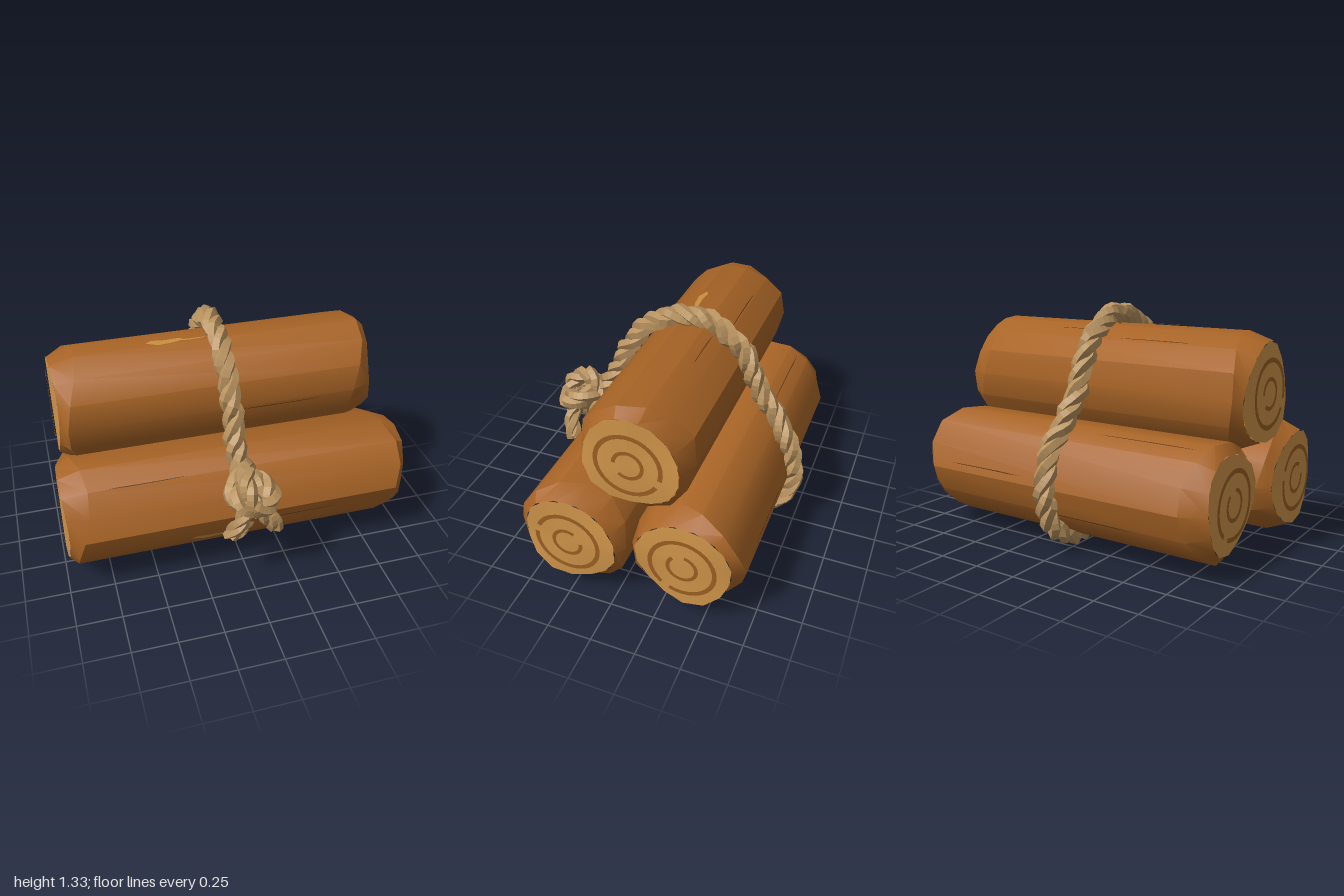
import * as THREE from 'three';
import { toCreasedNormals } from 'three/addons/utils/BufferGeometryUtils.js';

const material = (name, color, extra = {}) => {
  const m = new THREE.MeshStandardMaterial({ color, ...extra });
  m.name = name;
  return m;
};

export function createModel() {
  const bark = material('bark', 0xa86426);
  const wood = material('cut wood', 0xd0954a);
  const ringMat = material('growth ring', 0x9c6024, { side: THREE.DoubleSide });
  const chip = material('bare wood', 0xc88e40, { side: THREE.DoubleSide });
  const crack = material('bark crack', 0x5a3312, { side: THREE.DoubleSide });
  const ropeMat = material('rope', 0xb8925f, { side: THREE.DoubleSide, flatShading: true });

  const model = new THREE.Group();
  const add = (parent, name, geometry, mat) => {
    const mesh = new THREE.Mesh(geometry, mat);
    mesh.name = name;
    parent.add(mesh);
    return mesh;
  };

  // ---- logs: rough cylinders along x with uneven bevelled ends ----
  const SIDES = 14;
  function makeLog(name, x0, x1, y, z, r, seed) {
    const log = new THREE.Group();
    log.name = name;
    log.position.set(0, y, z);
    const wob = (a, k) => Math.sin(a * k + seed * 1.7);
    const endX = (a, s) => (s > 0 ? x1 : x0) - s * 0.01 * (1 + wob(a, 2 + (s > 0 ? 1 : 0)));
    const endR = (a, s) => r * (0.84 + 0.03 * wob(a + s, 3));
    const bodyR = a => r * (1 + 0.016 * wob(a, 5));

    // bark: the two end rows are bevelled by an amount that varies around the log
    const body = new THREE.CylinderGeometry(1, 1, 2, SIDES, 3, true).rotateZ(-Math.PI / 2);
    const p = body.attributes.position;
    for (let i = 0; i < p.count; i++) {
      const a = Math.atan2(p.getY(i), p.getZ(i));
      const s = Math.sign(p.getX(i));
      const isEnd = Math.abs(p.getX(i)) > 0.9;
      const bevel = 0.09 + 0.05 * wob(a + s, 2);
      const rad = isEnd ? endR(a, s) : bodyR(a);
      p.setXYZ(i, endX(a, s) - (isEnd ? 0 : s * bevel), Math.sin(a) * rad, Math.cos(a) * rad);
    }
    add(log, 'bark', toCreasedNormals(body, 0.52), bark);

    // cut faces with growth rings
    for (const s of [-1, 1]) {
      const cap = new THREE.CircleGeometry(1, SIDES, Math.PI / 2).rotateY(s * Math.PI / 2);
      const c = cap.attributes.position;
      for (let i = 0; i < c.count; i++) {
        const a = Math.atan2(c.getY(i), c.getZ(i));
        if (i === 0) c.setXYZ(i, s > 0 ? x1 : x0, 0, 0);
        else c.setXYZ(i, endX(a, s), Math.sin(a) * endR(a, s), Math.cos(a) * endR(a, s));
      }
      cap.computeVertexNormals();
      add(log, 'cutFace', cap, wood);
      [[0.067, 0.088, 5.4], [0.163, 0.188, 6.0]].forEach(([inner, outer, arc], k) => {
        const ring = new THREE.RingGeometry(inner, outer, 28, 1, seed + k * 2, arc);
        ring.rotateY(s * Math.PI / 2);
        add(log, 'growthRing', ring, ringMat).position.x = (s > 0 ? x1 : x0) + s * 0.008;
      });
    }
    model.add(log);

    // thin sliver lying on the bark at a given angle above the front
    log.userData.sliver = (label, xa, xb, h, angle, mat) => {
      const w = xb - xa;
      const shape = new THREE.Shape([[0, 0.1], [0.15, 0.5], [0.5, 0.3], [0.9, 0.4], [1, 0], [0.7, -0.35], [0.3, -0.5]]
        .map(([u, v]) => new THREE.Vector2(xa + u * w, v * h)));
      const pivot = new THREE.Group();
      pivot.rotation.x = -angle;
      add(pivot, label, new THREE.ShapeGeometry(shape), mat).position.z = bodyR(angle) + 0.003;
      log.add(pivot);
    };
    return log;
  }

  const frontLog = makeLog('frontLog', -0.985, 0.985, 0.377, 0.235, 0.312, 1);
  const backLog = makeLog('backLog', -0.915, 0.94, 0.377, -0.39, 0.312, 2.3);
  const topLog = makeLog('topLog', -0.945, 0.855, 0.89, -0.072, 0.315, 4);

  frontLog.userData.sliver('bareWood', -0.31, -0.06, 0.04, -0.42, chip);
  topLog.userData.sliver('bareWood', -0.41, -0.2, 0.045, 1.41, chip);
  topLog.userData.sliver('bareWood', -0.22, -0.08, 0.012, 1.4, chip);
  [[frontLog, 0.1, 0.55, -0.15], [frontLog, -0.75, -0.3, 0.9], [frontLog, -0.6, 0.1, -1.1],
    [topLog, 0.05, 0.52, -0.05], [topLog, -0.6, -0.15, 2.2], [topLog, 0.0, 0.3, 2.0],
    [backLog, -0.78, -0.2, 2.0], [backLog, 0.2, 0.7, 3.0], [backLog, -0.5, 0.1, 3.6]]
    .forEach(([log, a, b, angle]) => log.userData.sliver('barkCrack', a, b, 0.006, angle, crack));

  // ---- rope: three strands twisted around a path ----
  function rope(name, points, closed = false, spread = 0.029, thick = 0.034) {
    const group = new THREE.Group();
    group.name = name;
    const path = new THREE.CatmullRomCurve3(points.map(q => new THREE.Vector3(...q)), closed);
    const length = path.getLength();
    const n = Math.max(6, Math.round(length / 0.045));
    const { normals, binormals } = path.computeFrenetFrames(n, closed);
    const turns = closed ? Math.max(1, Math.round(length / 0.28)) : length / 0.28;
    for (let k = 0; k < 3; k++) {
      const strand = [];
      for (let i = 0; i < (closed ? n : n + 1); i++) {
        const a = (i / n * turns + k / 3) * Math.PI * 2;
        const off = spread * (1 + 0.25 * Math.sin(i * 2.3 + k * 2));
        strand.push(path.getPointAt(i / n)
          .addScaledVector(normals[i], Math.cos(a) * off)
          .addScaledVector(binormals[i], Math.sin(a) * off));
      }
      const curve = new THREE.CatmullRomCurve3(strand, closed);
      add(group, 'strand', new THREE.TubeGeometry(curve, n * 2, thick, 5, closed), ropeMat);
    }
    model.add(group);
  }

  // loop around the bundle, given as [z, y]
  const loop = [[0.53, 0.57], [0.47, 0.66], [0.385, 0.82], [0.295, 1.01], [0.19, 1.15], [0.05, 1.235], [-0.13, 1.262],
    [-0.27, 1.2], [-0.39, 1.08], [-0.46, 0.91], [-0.56, 0.76], [-0.68, 0.57], [-0.725, 0.38], [-0.69, 0.21],
    [-0.54, 0.08], [-0.31, 0.07], [-0.1, 0.085], [0.11, 0.07], [0.3, 0.075], [0.41, 0.17], [0.48, 0.3], [0.52, 0.45]];
  rope('ropeLoop', loop.map(([z, y]) => [y > 0.6 ? -0.025 : 0.01, y, z]), true);

  // knot: a wrapped band, a crossing bight and two hanging tails
  rope('knotBand', [[-0.1, 0.62, 0.63], [-0.05, 0.58, 0.71], [0.05, 0.56, 0.71], [0.1, 0.59, 0.64],
    [0.05, 0.63, 0.55], [-0.05, 0.64, 0.55]], true, 0.026, 0.034);
  rope('knotBight', [[0.0, 0.54, 0.6], [0.02, 0.53, 0.68], [-0.03, 0.62, 0.715], [-0.04, 0.69, 0.64],
    [-0.01, 0.72, 0.56], [0.0, 0.62, 0.5]], false, 0.024, 0.032);
  rope('leftTail', [[-0.03, 0.6, 0.64], [0.04, 0.5, 0.67], [0.1, 0.42, 0.665], [0.145, 0.34, 0.64]], false, 0.024, 0.028);
  rope('rightTail', [[0.03, 0.6, 0.65], [-0.05, 0.51, 0.68], [-0.09, 0.43, 0.68], [-0.125, 0.35, 0.66]], false, 0.022, 0.026);
  return model;
}
